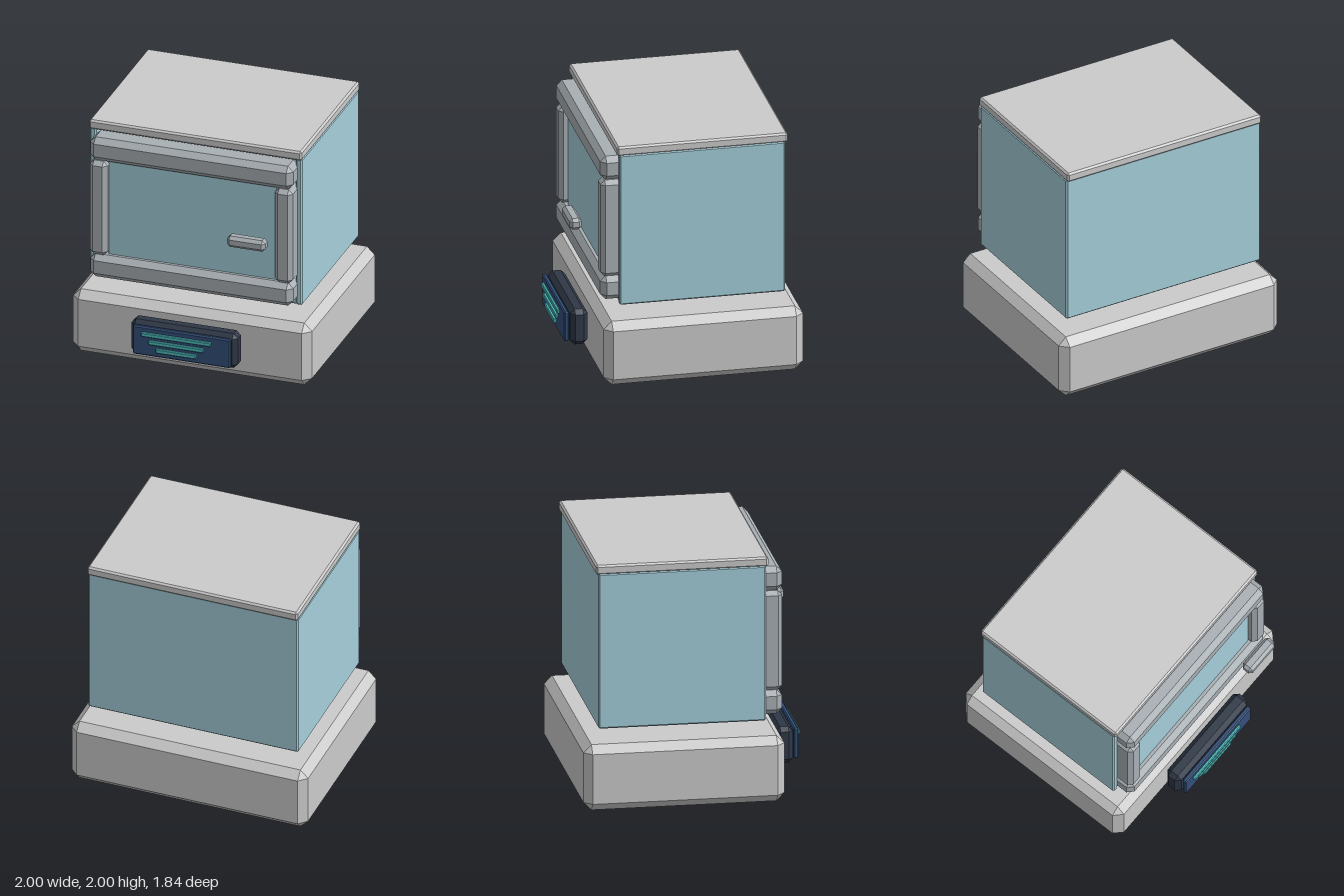
import * as THREE from 'three';
import { ConvexGeometry } from 'three/addons/geometries/ConvexGeometry.js';

const mat = (color) => new THREE.MeshStandardMaterial({ color, flatShading: true });

// Box with every edge cut by a flat chamfer c, given by its min/max ranges
function chamferBox(name, [x0, x1], [y0, y1], [z0, z1], c, material) {
  const h = [(x1 - x0) / 2, (y1 - y0) / 2, (z1 - z0) / 2];
  const points = [];
  for (const sx of [-1, 1]) for (const sy of [-1, 1]) for (const sz of [-1, 1]) {
    for (let axis = 0; axis < 3; axis++) {
      const p = h.map((v, i) => (i === axis ? v : v - c));
      points.push(new THREE.Vector3(sx * p[0], sy * p[1], sz * p[2]));
    }
  }
  const mesh = new THREE.Mesh(new ConvexGeometry(points), material);
  mesh.position.set((x0 + x1) / 2, (y0 + y1) / 2, (z0 + z1) / 2);
  mesh.name = name;
  return mesh;
}

export function createModel() {
  const group = new THREE.Group();
  group.name = 'chamberOnBase';
  const grey = mat(0xcccccc);
  const frameGrey = mat(0xa9b0b5);
  const blue = mat(0xa5cfdb);
  const dark = mat(0x2f3847);
  const navy = mat(0x34507a);
  const teal = mat(0x50c4c6);
  const add = (...args) => group.add(chamferBox(...args));

  // Heavy base and the turntable disc hovering above it
  add('base', [-1, 1], [0, 0.54], [-0.92, 0.69], 0.065, grey);
  const disc = new THREE.Mesh(new THREE.CylinderGeometry(0.5, 0.5, 0.06, 16), frameGrey);
  disc.position.set(0, 0.63, -0.12);
  disc.rotation.y = Math.PI / 2;
  disc.name = 'turntable';
  group.add(disc);

  // Hollow chamber: floor, back, two sides and a lid
  add('chamberFloor', [-0.88, 0.88], [0.65, 0.7], [-0.78, 0.54], 0.01, blue);
  add('chamberBack', [-0.88, 0.88], [0.65, 1.93], [-0.79, -0.73], 0.012, blue);
  for (const s of [-1, 1]) {
    const range = s < 0 ? [-0.89, -0.835] : [0.835, 0.89];
    add(s < 0 ? 'rightWall' : 'leftWall', range, [0.65, 1.93], [-0.79, 0.55], 0.012, blue);
  }
  add('lid', [-0.89, 0.89], [1.92, 2], [-0.81, 0.57], 0.015, grey);

  // Door: frame rails, posts, pane and handle
  add('topRail', [-0.85, 0.85], [1.7, 1.9], [0.47, 0.69], 0.045, frameGrey);
  add('bottomRail', [-0.85, 0.85], [0.68, 0.88], [0.47, 0.69], 0.045, frameGrey);
  for (const s of [-1, 1]) {
    const range = s < 0 ? [-0.85, -0.7] : [0.7, 0.85];
    add(s < 0 ? 'rightPost' : 'leftPost', range, [0.88, 1.7], [0.47, 0.69], 0.035, frameGrey);
  }
  add('doorPane', [-0.71, 0.71], [0.84, 1.74], [0.56, 0.62], 0.01, blue);
  add('doorHandle', [0.38, 0.7], [1.24, 1.335], [0.81, 0.91], 0.025, frameGrey);

  // Control panel with a screen and three light bars
  add('controlPanel', [-0.445, 0.445], [0.145, 0.445], [0.705, 0.845], 0.037, dark);
  add('screen', [-0.41, 0.41], [0.175, 0.425], [0.853, 0.892], 0.01, navy);
  for (let i = 0; i < 3; i++) {
    const y = 0.367 - i * 0.0635;
    add('lightBar', [-0.33 + i * 0.06, 0.25 - i * 0.06], [y - 0.018, y + 0.018], [0.893, 0.918], 0.006, teal);
  }
  return group;
}
